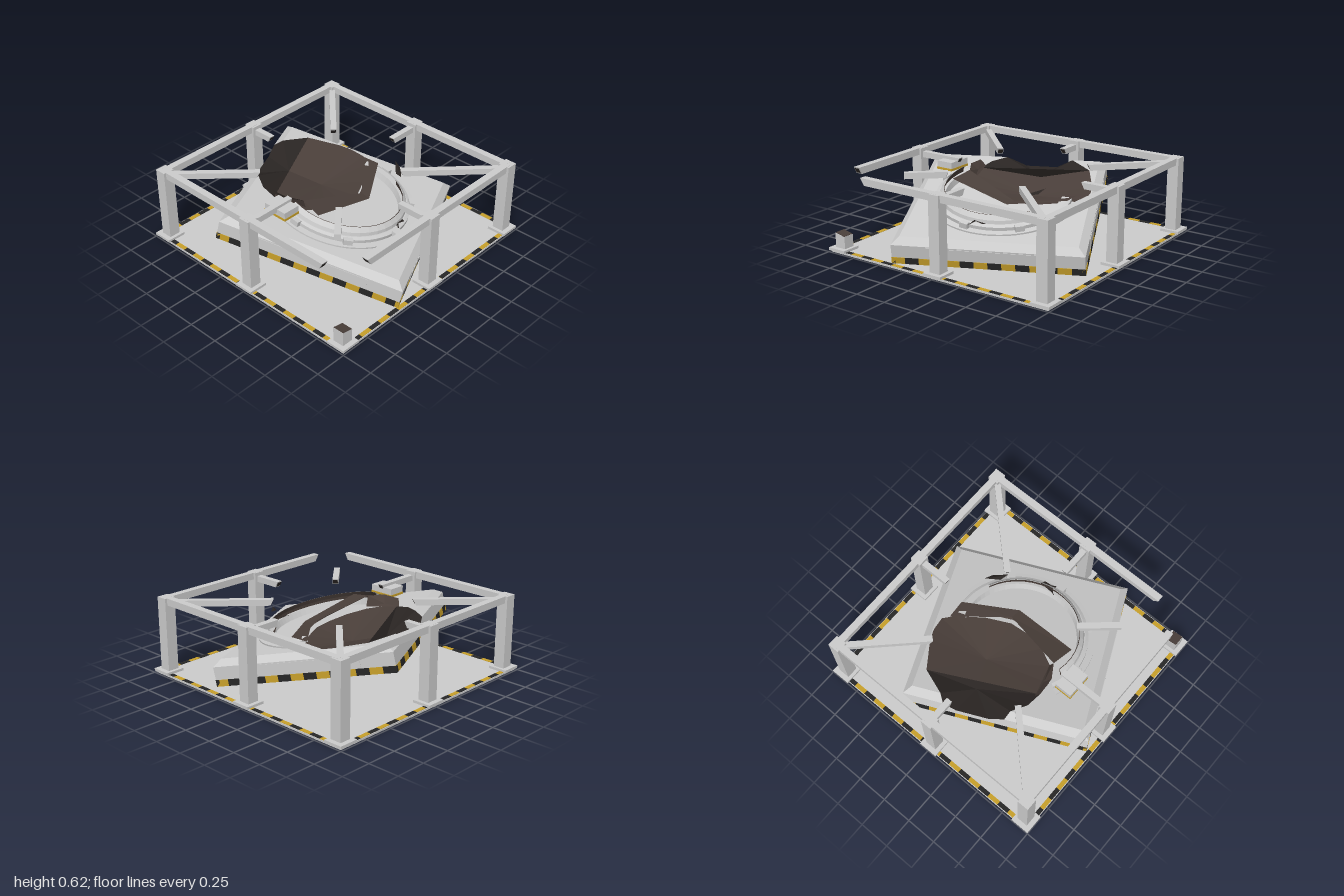
import * as THREE from 'three';

const mat = (color, side = THREE.FrontSide) => new THREE.MeshStandardMaterial({ color, side, flatShading: true });
const GREY = mat(0xcccccc), YELLOW = mat(0xc8a02a), BLACK = mat(0x262626);
const THIN = mat(0xcccccc, THREE.DoubleSide), BROWN = mat(0x4a3f3a, THREE.DoubleSide), DARK = mat(0x2a2523, THREE.DoubleSide);

function add(parent, name, geo, material, x = 0, y = 0, z = 0) {
  const m = new THREE.Mesh(geo, material);
  m.name = name;
  m.position.set(x, y, z);
  parent.add(m);
  return m;
}
const box = (parent, name, material, w, h, d, x, y, z) => add(parent, name, new THREE.BoxGeometry(w, h, d), material, x, y, z);
const outline = pts => new THREE.Shape(pts.map(p => new THREE.Vector2(...p)));

// Bar between two [x, z] points; a broken end is slanted and has a dark core
function bar(parent, name, a, b, y, size, broken = 0) {
  const dx = b[0] - a[0], dz = b[1] - a[1], len = Math.hypot(dx, dz);
  const g = new THREE.Group();
  g.name = name;
  g.position.set((a[0] + b[0]) / 2, y, (a[1] + b[1]) / 2);
  g.rotation.y = Math.atan2(dx, dz);
  const geo = new THREE.BoxGeometry(size, size, len), p = geo.attributes.position;
  for (let i = 0; i < p.count; i++) if (p.getZ(i) > 0 && p.getY(i) < 0) p.setZ(i, len / 2 - broken);
  add(g, name, geo, GREY);
  if (broken) {
    const core = add(g, 'brokenCore', new THREE.PlaneGeometry(size * 0.8, size * 0.8), DARK, 0, 0, len / 2 - broken / 2 + 0.003);
    core.rotation.x = Math.atan2(broken, size);
  }
  parent.add(g);
}

// Four strips of alternating yellow and black blocks around a square
function hazardBorder(parent, half, count, h, d, y) {
  const w = 2 * half / count;
  for (let s = 0; s < 4; s++) {
    const side = new THREE.Group();
    side.name = 'hazardStrip';
    side.rotation.y = s * Math.PI / 2;
    for (let i = 0; i < count; i++)
      box(side, 'hazardBlock', i % 2 ? BLACK : YELLOW, w, h, d, -half + (i + 0.5) * w, y, half - d / 2);
    parent.add(side);
  }
}

// Faceted surface: triangles from a centre point to a closed rim
function fan(parent, name, centre, rim, material) {
  const pos = [];
  rim.forEach((p, i) => pos.push(...p, ...centre, ...rim[(i + 1) % rim.length]));
  const geo = new THREE.BufferGeometry();
  geo.setAttribute('position', new THREE.Float32BufferAttribute(pos, 3));
  geo.computeVertexNormals();
  add(parent, name, geo, material);
}

// Loose fragment from [x, z, height above the tilted deck] points
function shard(parent, name, centre, rim, material) {
  const at = ([x, z, h]) => [x, 0.375 - 0.217 * (0.42 * (x + 0.02) + 0.908 * (z - 0.078)) + h, z];
  fan(parent, name, at(centre), rim.map(at), material);
}

function buildFrame(root) {
  const E = 0.915, F = 0.921;
  // Posts on foot plates, with one corner post snapped to a stub
  for (const i of [-1, 0, 1]) for (const j of [-1, 0, 1]) {
    if (!i && !j) continue;
    const x = i * E, z = j * E, stub = i === -1 && j === 1, h = stub ? 0.125 : 0.605;
    box(root, 'footPlate', GREY, 0.157, 0.02, 0.157, i * F, 0.025, j * F);
    const geo = new THREE.BoxGeometry(0.092, h, 0.092), p = geo.attributes.position;
    if (stub) for (let k = 0; k < p.count; k++) if (p.getY(k) > 0) p.setY(k, h / 2 - p.getX(k) * 0.2);
    add(root, stub ? 'brokenPost' : 'post', geo, GREY, x, 0.015 + h / 2, z);
    if (stub) {
      const cap = box(root, 'brokenPostCore', BROWN, 0.088, 0.004, 0.088, x, 0.142, z);
      cap.rotation.z = -0.2;
    }
  }
  // Top beams, two of them broken off before the missing corner
  bar(root, 'backBeam', [-E, -E], [E, -E], 0.593, 0.055);
  bar(root, 'leftBeam', [E, -E], [E, E], 0.593, 0.055);
  bar(root, 'frontBeam', [E, E], [-0.7, E], 0.593, 0.055, 0.035);
  bar(root, 'rightBeam', [-E, -E], [-E, 0.75], 0.593, 0.055, 0.03);
  // Struts pointing at the centre, all snapped at the inner end
  const struts = [
    [[-0.9, -0.9], [-0.41, -0.41]], [[0.9, -0.9], [0.41, -0.42]], [[0.9, 0.9], [0.33, 0.35]],
    [[-0.6, 0.57], [-0.35, 0.35]], [[0, -0.9], [0, -0.7]], [[0.9, 0], [0.63, 0]],
    [[-0.9, 0], [-0.5, 0]], [[0, 0.9], [0, 0.63]],
  ];
  for (const [a, b] of struts) bar(root, 'brokenStrut', a, b, 0.568, 0.048, 0.025);
  // Clamp head hanging on the right strut
  box(root, 'clampHead', GREY, 0.14, 0.05, 0.205, -0.585, 0.545, 0);
  box(root, 'clampPad', YELLOW, 0.146, 0.018, 0.211, -0.585, 0.512, 0);
}

function buildPlatform(root) {
  const g = new THREE.Group();
  g.name = 'tiltedPlatform';
  g.position.set(-0.04, 0.18, 0.038);
  g.rotation.set(0.212, 0.433, 0, 'YXZ');
  root.add(g);
  const H = 0.71, T = 0.655, WALL = 0.155, TOP = 0.2;
  const lathe = (pts, n, start, arc) => new THREE.LatheGeometry(pts.map(p => new THREE.Vector2(...p)), n, start, arc);

  // Crater edge on the deck, from the back edge round the front and back again, as [x, z]
  const edge = [[0.436, -T], [0.593, -0.495], [0.645, -0.234], [0.645, -0.135], [0.616, -0.021], [0.515, 0.031],
    [0.293, 0.082], [0.091, 0.089], [-0.049, 0.035], [-0.191, -0.064], [-0.293, -0.2], [-0.316, -0.342],
    [-0.274, -0.455], [-0.211, -0.569], [-0.1, -T]];
  // Crater edge across the back wall, as [x, y]
  const notch = [[-0.07, WALL], [0.05, 0.1], [0.3, 0.1], [0.4, WALL]];

  // Front and side walls with chamfer, underside, deck and notched back wall
  const walls = lathe([[H, 0], [H, WALL], [T, TOP]].map(([r, y]) => [r * Math.SQRT2, y]), 3, Math.PI * 1.25, Math.PI * 1.5).toNonIndexed();
  walls.computeVertexNormals();
  add(g, 'platformWalls', walls, GREY);
  add(g, 'underside', new THREE.PlaneGeometry(2 * H, 2 * H).rotateX(Math.PI / 2), GREY);
  const deck = outline([[-T, T], [-T, -T], [T, -T], [T, T], ...edge.map(([x, z]) => [x, -z])]);
  add(g, 'deck', new THREE.ShapeGeometry(deck).rotateX(-Math.PI / 2), GREY, 0, TOP, 0);
  const back = outline([[-H, 0], [H, 0], [H, WALL], ...[...notch].reverse(), [-H, WALL]]);
  add(g, 'backWall', new THREE.ShapeGeometry(back), THIN, 0, 0, -H);
  fan(g, 'backChamfer', [-0.4, 0.1775, -0.6825], [[-H, WALL, -H], [-0.07, WALL, -H], [-0.1, TOP, -T], [-T, TOP, -T]], THIN);
  fan(g, 'backChamfer', [0.55, 0.1775, -0.6825], [[0.4, WALL, -H], [H, WALL, -H], [T, TOP, -T], [0.436, TOP, -T]], THIN);

  // Crater: main bowl and the shadowed part behind a crease
  const rim = edge.map(([x, z]) => [x, TOP, z]), crease = [0.2, 0.115, -0.5];
  fan(g, 'craterBowl', [0.2, 0.1, -0.22], [...rim.slice(1, 13), crease], BROWN);
  fan(g, 'craterBack', crease, [...rim.slice(12), ...notch.map(([x, y]) => [x, y, -H]), ...rim.slice(0, 2)], DARK);

  // Trim: hazard band and wall panels
  hazardBorder(g, H + 0.003, 14, 0.052, 0.03, 0.027);
  for (const s of [-1, 0, 1]) {
    const side = new THREE.Group();
    side.name = 'wallPanel';
    side.rotation.y = s * Math.PI / 2;
    box(side, 'wallPanelPlate', GREY, 0.9, 0.08, 0.008, 0, 0.105, H);
    g.add(side);
  }

  // Surviving arc of the stepped ring
  const ring = [[0.4, 0.18], [0.575, 0.18], [0.575, 0.212], [0.525, 0.214], [0.525, 0.24], [0.5, 0.25], [0.45, 0.25], [0.44, 0.2]];
  add(g, 'ring', lathe(ring, 40, -2.4, 3.9), THIN);
  // Surviving arc of the shell, dark on the inside
  add(g, 'shellOutside', lathe([[0.495, 0.24], [0.485, 0.275], [0.455, 0.305]], 20, -2.2, 3.0), THIN);
  add(g, 'shellInside', lathe([[0.475, 0.24], [0.468, 0.272], [0.45, 0.305]], 20, -2.2, 3.0), BROWN);
  // Latches along the ring
  for (let i = -3; i < 2; i++) {
    const a = (i + 0.5) * Math.PI / 4;
    const latch = box(g, 'latch', GREY, 0.07, 0.05, 0.04, Math.sin(a) * 0.535, 0.23, Math.cos(a) * 0.535);
    latch.rotation.y = a;
  }
}

function buildDebris(root) {
  // Broken plate in front of the crater
  shard(root, 'frontShard', [0.12, 0.15, 0.04], [
    [-0.42, 0.21, 0.1], [-0.39, 0.03, 0.1], [-0.22, 0.115, 0.06], [-0.05, 0.15, 0.04], [0.1, 0.14, 0.03],
    [0.3, 0.04, 0.03], [0.48, -0.16, 0.04], [0.49, -0.01, 0.07], [0.32, 0.1, 0.06], [0.11, 0.235, 0.05]], BROWN);
  // Torn lip on the right edge of the crater
  shard(root, 'tornLip', [-0.42, -0.12, 0.03], [
    [-0.36, 0.02, 0.02], [-0.39, 0.03, 0.1], [-0.46, -0.08, 0.09], [-0.47, -0.22, 0.06], [-0.44, -0.25, 0.005]], BROWN);
  // Small loose pieces
  shard(root, 'latchShard', [0.07, 0.55, 0.06], [
    [0, 0.52, 0.05], [0.15, 0.53, 0.05], [0.13, 0.57, 0.06], [0.06, 0.57, 0.07], [0.03, 0.61, 0.04]], DARK);
  shard(root, 'looseShard', [0.38, 0.29, 0.24], [
    [0.44, 0.21, 0.25], [0.42, 0.28, 0.23], [0.33, 0.36, 0.24], [0.35, 0.29, 0.22]], DARK);
}

export function createModel() {
  const root = new THREE.Group();
  root.name = 'damagedPlatform';
  box(root, 'basePlate', GREY, 1.97, 0.015, 1.97, 0, 0.0075, 0);
  hazardBorder(root, 0.98, 20, 0.006, 0.035, 0.015);
  buildFrame(root);
  buildPlatform(root);
  buildDebris(root);
  return root;
}
